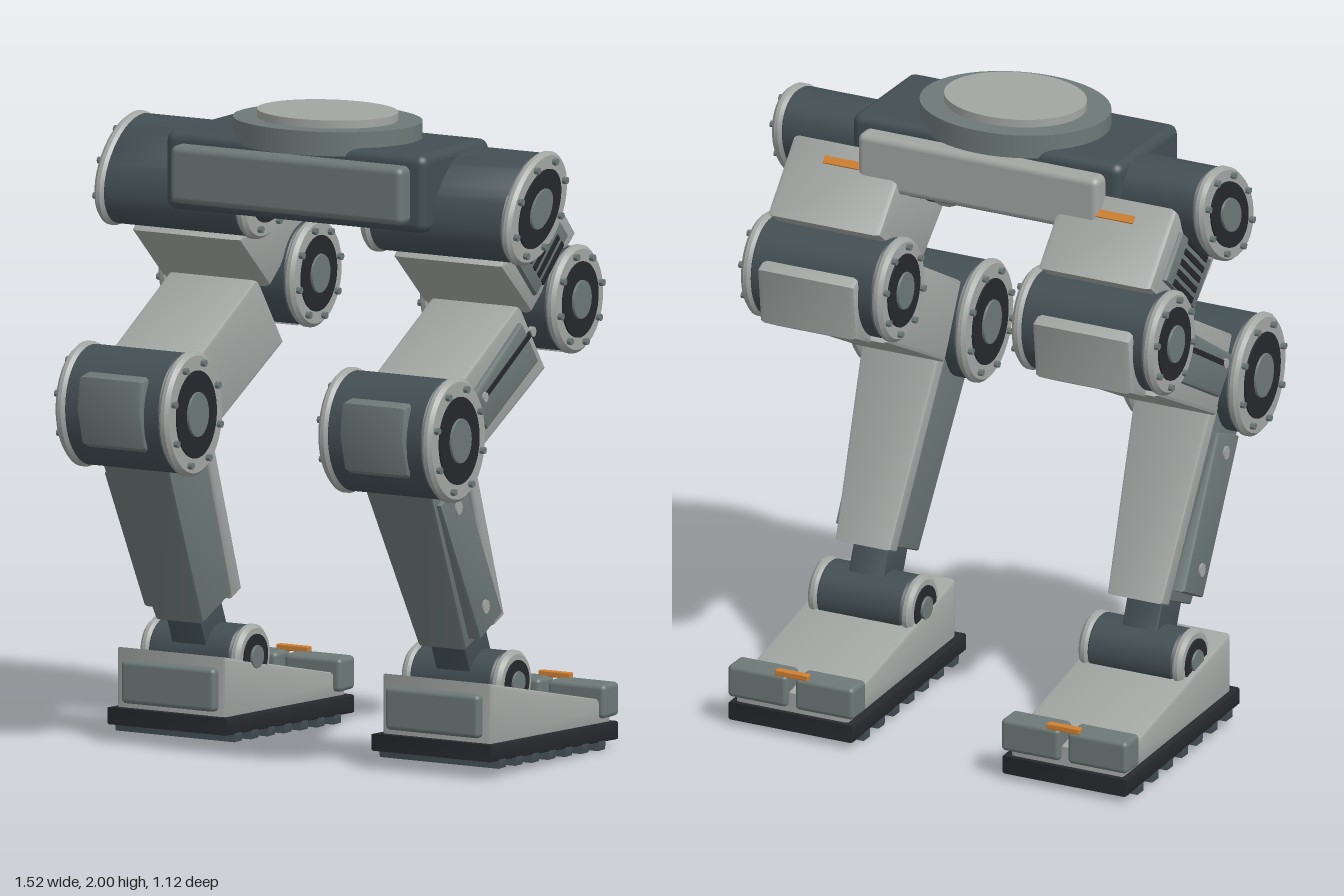
import * as THREE from 'three';
import { toCreasedNormals } from 'three/addons/utils/BufferGeometryUtils.js';
import { RoundedBoxGeometry } from 'three/addons/geometries/RoundedBoxGeometry.js';

const material = (name, color) => {
  const m = new THREE.MeshStandardMaterial({ color });
  m.name = name;
  return m;
};

export function createModel() {
  const light = material('light grey', 0xa2a6a3);
  const mid = material('slate grey', 0x6c7877);
  const dark = material('dark slate', 0x434f54);
  const black = material('black rubber', 0x26282c);
  const orange = material('orange', 0xd08030);

  const model = new THREE.Group();
  model.name = 'walkerLegs';

  const add = (parent, name, geo, mat) => {
    const mesh = new THREE.Mesh(geo, mat);
    mesh.name = name;
    parent.add(mesh);
    return mesh;
  };

  // Rounded block between two corners
  const block = (parent, name, mat, [x0, x1], [y0, y1], [z0, z1], r = 0.015) => {
    const geo = new RoundedBoxGeometry(x1 - x0, y1 - y0, z1 - z0, 3, r);
    geo.translate((x0 + x1) / 2, (y0 + y1) / 2, (z0 + z1) / 2);
    return add(parent, name, geo, mat);
  };

  // Pelvis with front and back plates and the oval turret mount
  const pelvis = new THREE.Group();
  pelvis.name = 'pelvis';
  model.add(pelvis);
  block(pelvis, 'pelvisBody', dark, [-0.465, 0.465], [1.68, 1.925], [-0.17, 0.23], 0.03);
  block(pelvis, 'frontPlate', mid, [-0.415, 0.415], [1.71, 1.89], [0.2, 0.283], 0.022);
  block(pelvis, 'backPlate', light, [-0.415, 0.415], [1.71, 1.89], [-0.227, -0.15], 0.022);
  const oval = (name, mat, rx, rz, y0, y1) => {
    const geo = new THREE.CylinderGeometry(1, 1, y1 - y0, 48);
    geo.scale(rx, 1, rz).translate(0, (y0 + y1) / 2, 0.03);
    add(pelvis, name, geo, mat);
  };
  oval('turretRing', mid, 0.305, 0.25, 1.9, 1.975);
  oval('turretDisc', light, 0.227, 0.187, 1.95, 2.0);

  function buildLeg(side) {
    const leg = new THREE.Group();
    leg.name = side > 0 ? 'leftLeg' : 'rightLeg';
    model.add(leg);
    const span = (x0, x1) => (side > 0 ? [x0, x1] : [-x1, -x0]);

    // Side profile of [z, y] points, extruded across x with bevelled edges
    const slab = (name, mat, pts, xa, xb, bevel = 0.012, taper = null) => {
      const [x0, x1] = span(xa, xb);
      const shape = new THREE.Shape(pts.map(([z, y]) => new THREE.Vector2(-z, y)));
      const geo = new THREE.ExtrudeGeometry(shape, {
        depth: x1 - x0 - 2 * bevel, bevelEnabled: bevel > 0, bevelThickness: bevel,
        bevelSize: bevel, bevelOffset: -bevel, bevelSegments: 2,
      });
      geo.translate(0, 0, x0 + bevel).rotateY(Math.PI / 2);
      if (taper) {
        const p = geo.attributes.position, c = (x0 + x1) / 2;
        for (let i = 0; i < p.count; i++) p.setX(i, c + (p.getX(i) - c) * taper(p.getY(i)));
      }
      return add(leg, name, toCreasedNormals(geo, 0.6), mat);
    };

    // Oval drum along x, chamfered at both ends
    const drum = (parent, name, mat, o, k, xa, xb, chamfer = 0, seg = 40) => {
      const [x0, x1] = span(Math.min(xa, xb), Math.max(xa, xb));
      const c = chamfer, e = 1 - c / o.ry;
      const pts = [[0, x0], [e, x0], [1, x0 + c], [1, x1 - c], [e, x1], [0, x1]]
        .map(([r, x]) => new THREE.Vector2(r, x));
      const geo = new THREE.LatheGeometry(pts, seg);
      geo.rotateZ(-Math.PI / 2).scale(1, o.ry * k, o.rz * k).rotateX(o.tilt || 0).translate(0, o.y, o.z);
      return add(parent, name, toCreasedNormals(geo, 0.6), mat);
    };

    // Joint: dark drum with a ringed, bolted cap at each end
    const joint = (name, o, x0, x1, bolts) => {
      const g = new THREE.Group();
      g.name = name;
      leg.add(g);
      drum(g, 'drum', dark, o, 0.96, x0 + 0.04, x1 - 0.04, 0.012);
      for (const [end, d] of [[x0, 1], [x1, -1]]) {
        drum(g, 'capRing', light, o, 1, end + d * 0.05, end + d * 0.014, 0.012);
        drum(g, 'capDisc', black, o, 0.7, end + d * 0.03, end + d * 0.009);
        drum(g, 'capHub', mid, o, 0.36, end + d * 0.02, end + d * 0.002, 0.004);
        for (let i = 0; i < bolts; i++) {
          const a = (i + 0.5) / bolts * Math.PI * 2, t = o.tilt || 0;
          const u = Math.cos(a) * o.ry * 0.83, v = Math.sin(a) * o.rz * 0.83;
          const at = {
            y: o.y + u * Math.cos(t) - v * Math.sin(t),
            z: o.z + u * Math.sin(t) + v * Math.cos(t), ry: 0.011, rz: 0.011,
          };
          drum(g, 'capBolt', mid, at, 1, end + d * 0.02, end, 0, 8);
        }
      }
    };

    // Hip, lower hip, knee and ankle joints
    joint('hipJoint', { z: 0.012, y: 1.755, ry: 0.2, rz: 0.138, tilt: -0.85 }, 0.19, 0.76, 8);
    joint('lowerHipJoint', { z: -0.285, y: 1.428, ry: 0.168, rz: 0.15, tilt: -0.15 }, 0.21, 0.725, 8);
    joint('kneeJoint', { z: 0.37, y: 1.08, ry: 0.195, rz: 0.168, tilt: 0.1 }, 0.253, 0.687, 8);
    joint('ankleJoint', { z: -0.018, y: 0.27, ry: 0.1, rz: 0.1 }, 0.275, 0.66, 0);

    // Hip link with a vented outer panel
    slab('hipLink', light, [[-0.17, 1.82], [-0.35, 1.62], [-0.085, 1.41], [0.1, 1.58]], 0.27, 0.665, 0.02);
    slab('ventPanel', mid, [[-0.16, 1.745], [-0.275, 1.625], [-0.085, 1.465], [0.03, 1.585]], 0.65, 0.682);
    for (let i = -2; i <= 2; i++) {
      const cz = -0.122 - i * 0.024, cy = 1.605 - i * 0.025;
      const corner = (a, b) => [cz - a * 0.06 - b * 0.006, cy + a * 0.053 - b * 0.007];
      slab('ventSlot', black, [corner(-1, -1), corner(1, -1), corner(1, 1), corner(-1, 1)], 0.678, 0.686, 0);
    }
    slab('hipStripe', orange, [[-0.206, 1.788], [-0.222, 1.77], [-0.217, 1.764], [-0.201, 1.782]], 0.4, 0.535, 0);
    slab('lowerHipPad', light, [[-0.35, 1.53], [-0.455, 1.48], [-0.435, 1.3], [-0.33, 1.25]], 0.305, 0.645, 0.02);

    // Thigh with a slotted outer panel
    slab('thigh', light, [[0.275, 1.24], [-0.075, 1.435], [-0.23, 1.215], [0.165, 1.01]], 0.31, 0.627, 0.015);
    slab('thighPanel', mid, [[0.245, 1.185], [-0.06, 1.38], [-0.155, 1.25], [0.15, 1.08]], 0.61, 0.647);
    slab('thighSlot', black, [[0.172, 1.195], [-0.102, 1.354], [-0.108, 1.338], [0.166, 1.179]], 0.643, 0.651, 0);
    for (const [z, y] of [[0.175, 1.185], [-0.108, 1.348]])
      drum(leg, 'thighBolt', light, { z, y, ry: 0.016, rz: 0.014 }, 1, 0.64, 0.655, 0, 12);
    slab('kneePad', mid, [[0.49, 1.205], [0.54, 1.195], [0.556, 1.1], [0.525, 0.985], [0.455, 0.95]], 0.355, 0.585, 0.015);

    // Tapered shin, calf plate and outer panel
    const taper = y => 0.72 + 0.28 * (y - 0.385) / 0.5;
    slab('shin', mid, [[0.42, 0.96], [0.245, 1.05], [-0.05, 0.465], [0.13, 0.385]], 0.35, 0.59, 0.012, taper);
    slab('calfPlate', light, [[0.225, 1.02], [0.17, 1.03], [-0.085, 0.465], [-0.03, 0.44]], 0.345, 0.595, 0.012, taper);
    slab('shinPanel', mid, [[0.36, 0.87], [0.22, 0.93], [-0.01, 0.485], [0.12, 0.42]], 0.54, 0.605);
    for (const [z, y] of [[0.26, 0.85], [0.1, 0.52]])
      drum(leg, 'shinBolt', light, { z, y, ry: 0.022, rz: 0.019 }, 1, 0.59, 0.611, 0, 12);
    slab('ankleStub', dark, [[0.115, 0.415], [-0.01, 0.465], [-0.065, 0.335], [0.055, 0.27]], 0.41, 0.535, 0.008);

    // Wedge foot, rubber sole and cleats
    slab('foot', light, [[0.172, 0.295], [-0.54, 0.14], [-0.54, 0.07], [0.172, 0.1]], 0.28, 0.67);
    slab('sole', black, [[0.2, 0.11], [-0.555, 0.077], [-0.555, 0.02], [0.2, 0.057]], 0.255, 0.69, 0.01);
    block(leg, 'footFrontPad', mid, span(0.305, 0.64), [0.125, 0.26], [0.15, 0.2]);
    for (let i = 0; i < 7; i++) {
      const z = 0.13 - i * 0.098, y = 0.03 - i * 0.005;
      slab('cleat', dark, [[z - 0.022, y + 0.04], [z + 0.022, y + 0.04], [z + 0.02, y], [z - 0.02, y]], 0.257, 0.688, 0.004);
    }

    // Heel blocks joined by an orange latch
    block(leg, 'heelBlock', mid, span(0.255, 0.457), [0.095, 0.2], [-0.56, -0.467]);
    block(leg, 'heelBlock', mid, span(0.485, 0.69), [0.095, 0.2], [-0.56, -0.467]);
    block(leg, 'heelLatch', orange, span(0.412, 0.525), [0.196, 0.214], [-0.558, -0.534], 0.003);
  }

  buildLeg(1);
  buildLeg(-1);
  return model;
}
